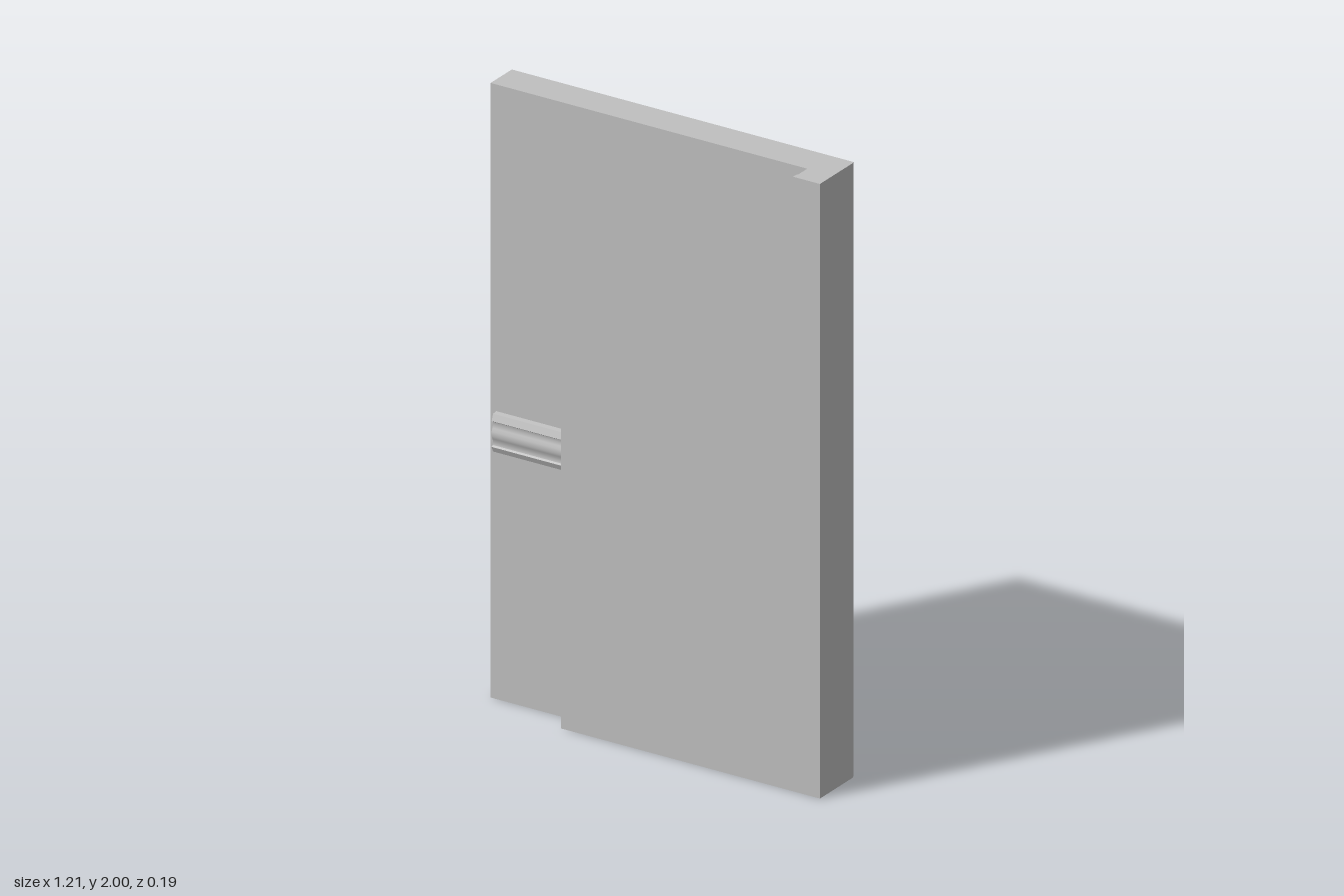
import * as THREE from 'three';
import { toCreasedNormals } from 'three/addons/utils/BufferGeometryUtils.js';

const H = 2;
const grey = new THREE.MeshStandardMaterial({ color: 0xc0c0c0 });
grey.name = 'grey';
grey.side = THREE.DoubleSide;

// Shape from [a, b] points, extruded by depth
function extrude(points, depth) {
  const shape = new THREE.Shape(points.map(([a, b]) => new THREE.Vector2(a, b)));
  return new THREE.ExtrudeGeometry(shape, { depth, bevelEnabled: false });
}

export function createModel() {
  const model = new THREE.Group();
  model.name = 'door';
  const add = (name, geometry) => {
    const mesh = new THREE.Mesh(geometry, grey);
    mesh.name = name;
    model.add(mesh);
    return mesh;
  };

  // Slab with the raised hinge-side strip: plan outline [x, z] raised to full height
  const plan = [
    [-0.607, -0.095], [0.601, -0.095], [0.604, -0.085], [0.604, 0.091], [0.509, 0.091],
    [0.509, 0.075], [0.513, 0.068], [0.513, 0.02], [-0.607, 0.02],
  ];
  add('doorSlab', extrude(plan.map(([x, z]) => [x, -z]), H).rotateX(-Math.PI / 2));

  // Thin cover sheet standing off the slab, flush with the strip
  const cover = add('coverPanel', new THREE.PlaneGeometry(0.822, H));
  cover.position.set(0.1, H / 2, 0.091);

  // Ribbed push bar running behind the cover: section [z, y] swept along x
  const section = [
    [0.02, 0.81], [0.037, 0.812], [0.045, 0.83], [0.039, 0.834], [0.037, 0.844],
    [0.041, 0.855], [0.045, 0.865], [0.045, 0.88], [0.041, 0.89], [0.037, 0.902],
    [0.039, 0.91], [0.045, 0.914], [0.037, 0.935], [0.02, 0.937],
  ];
  const bar = extrude(section.map(([z, y]) => [-z, y]), 1.1).rotateY(Math.PI / 2);
  add('pushBar', toCreasedNormals(bar, 0.7)).position.x = -0.587;

  return model;
}
